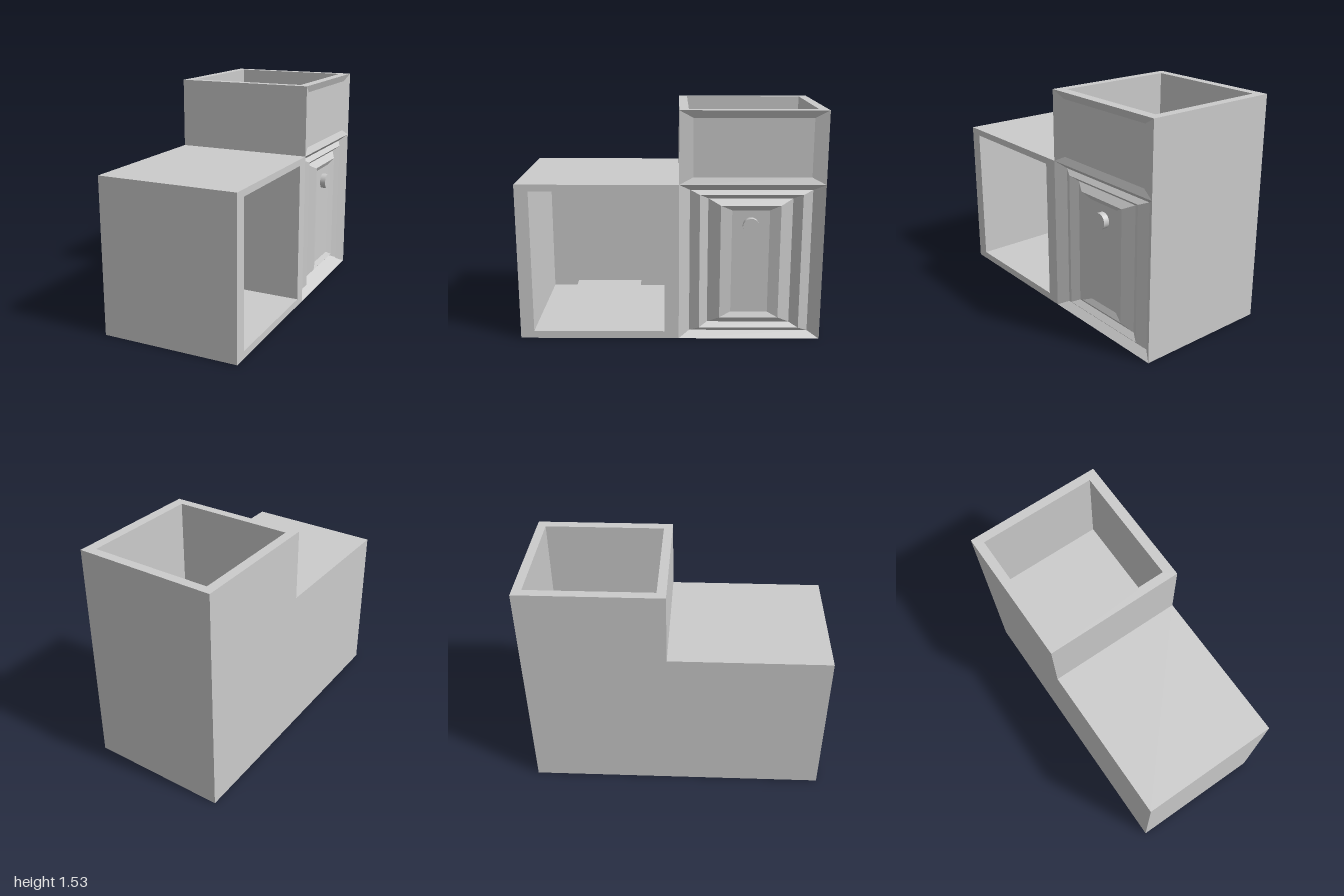
import * as THREE from 'three';

const material = new THREE.MeshStandardMaterial({ color: 0xcccccc, flatShading: true });

// Each side has its own axes: u to the right, v up, n outward
const V = (x, y, z) => new THREE.Vector3(x, y, z);
const basis = (u, v) => new THREE.Matrix4().makeBasis(u, v, u.clone().cross(v));
const SIDES = {
  front: basis(V(1, 0, 0), V(0, 1, 0)),
  back: basis(V(-1, 0, 0), V(0, 1, 0)),
  doorSide: basis(V(0, 0, -1), V(0, 1, 0)),
  plainSide: basis(V(0, 0, 1), V(0, 1, 0)),
  top: basis(V(1, 0, 0), V(0, 0, -1)),
  bottom: basis(V(1, 0, 0), V(0, 0, 1)),
};

// Nested rectangles [u0, v0, u1, v1, height along n], joined by mitred bands and capped
function relief(name, side, loops) {
  const rings = loops.map(([u0, v0, u1, v1, d]) =>
    [V(u0, v0, d), V(u1, v0, d), V(u1, v1, d), V(u0, v1, d)]);
  const points = [];
  const quad = (a, b, c, d) => points.push(a, b, c, a, c, d);
  for (let r = 0; r < rings.length - 1; r++) {
    const a = rings[r], b = rings[r + 1];
    for (let i = 0; i < 4; i++) {
      const j = (i + 1) % 4;
      quad(a[i], a[j], b[j], b[i]);
    }
  }
  quad(...rings[rings.length - 1]);
  const geometry = new THREE.BufferGeometry().setFromPoints(points);
  geometry.applyMatrix4(SIDES[side]);
  geometry.computeVertexNormals();
  const mesh = new THREE.Mesh(geometry, material);
  mesh.name = name;
  return mesh;
}

export function createModel() {
  const group = new THREE.Group();
  const X0 = -0.472, X1 = 0.468;      // body width
  const LOW = 1.055, HIGH = 1.53;     // cabinet and tower heights
  const SPLIT = -0.06;                // where the tower meets the cabinet
  const add = (...args) => group.add(relief(...args));

  // Plain outer walls
  add('cabinetFront', 'front', [[X0, 0, X1, LOW, 1]]);
  add('cabinetTop', 'top', [[X0, -1, X1, -SPLIT, LOW]]);
  add('towerFront', 'front', [[X0, LOW, X1, HIGH, SPLIT]]);
  add('backWall', 'back', [[-X1, 0, -X0, HIGH, 1]]);
  add('base', 'bottom', [[X0, -1, X1, 1, 0]]);
  add('cabinetSide', 'plainSide', [[SPLIT, 0, 1, LOW, -X0]]);
  add('towerSide', 'plainSide', [[-1, 0, SPLIT, HIGH, -X0]]);

  // Open compartment of the low cabinet
  add('cabinetOpening', 'doorSide', [
    [-1, 0, -SPLIT, LOW, X1],
    [-0.91, 0.05, -0.035, 1.01, X1],
    [-0.91, 0.05, -0.035, 1.01, -0.43],
  ]);

  // Open well in the top of the tower
  add('towerWell', 'top', [
    [X0, -SPLIT, X1, 1, HIGH],
    [-0.41, 0.12, 0.4, 0.94, HIGH],
    [-0.41, 0.12, 0.4, 0.94, 0.9],
  ]);

  // Shallow sunk panel above the door
  add('upperPanel', 'doorSide', [
    [-SPLIT, LOW, 1, HIGH, X1],
    [0.15, 1.1, 0.91, 1.48, X1 - 0.02],
  ]);

  // Door with alternating grooves and ridges
  add('door', 'doorSide', [
    [0.06, 0, 1, LOW, X1],
    [0.13, 0.04, 0.925, 1.012, X1 - 0.05],
    [0.195, 0.07, 0.86, 0.985, X1 - 0.02],
    [0.25, 0.1, 0.8, 0.955, X1 - 0.055],
    [0.33, 0.145, 0.72, 0.915, X1 - 0.015],
    [0.405, 0.18, 0.65, 0.88, X1 - 0.035],
  ]);

  // Round door knob
  const knob = new THREE.Mesh(
    new THREE.CylinderGeometry(0.053, 0.053, 0.05, 32).rotateZ(-Math.PI / 2),
    new THREE.MeshStandardMaterial({ color: 0xcccccc }));
  knob.name = 'doorKnob';
  knob.position.set(0.447, 0.78, -0.527);
  group.add(knob);

  // Low tray on a short foot inside the compartment
  const tray = new THREE.Group();
  tray.name = 'tray';
  tray.add(relief('trayTop', 'top', [[-0.42, -0.72, 0.42, -0.23, 0.092]]));
  tray.add(relief('trayUnderside', 'bottom', [
    [-0.42, 0.23, 0.42, 0.72, -0.092],
    [-0.3, 0.35, 0.3, 0.6, -0.078],
    [-0.03, 0.45, 0.03, 0.5, -0.078],
    [-0.03, 0.45, 0.03, 0.5, -0.05],
  ]));
  group.add(tray);

  return group;
}
